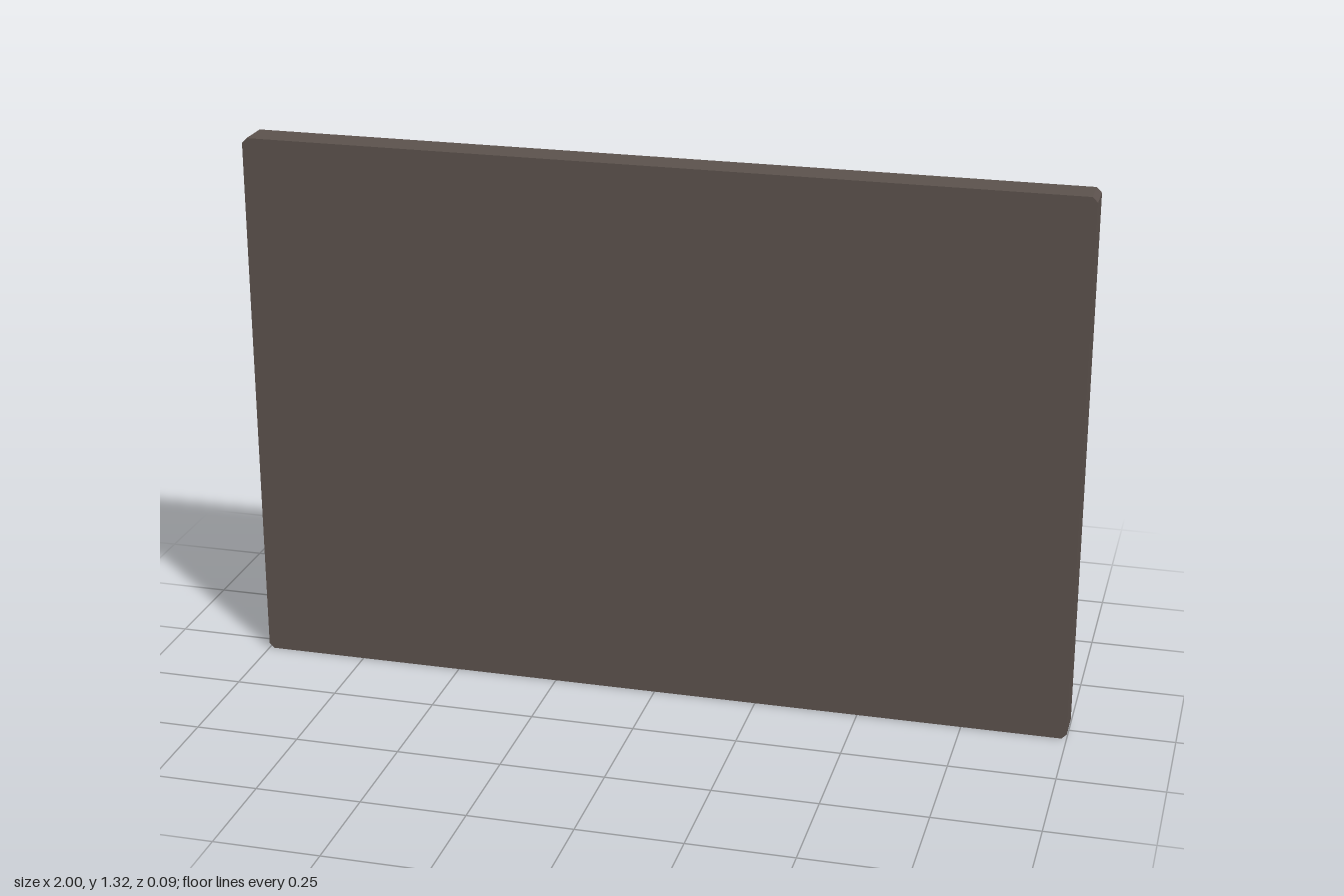
import * as THREE from 'three';

const W = 2, H = 1.32, D = 0.094;   // overall size
const RIM = 0.055;                  // frame width
const CHAMFER = 0.012;
const SLATS = 8, PITCH = 0.148;

// rectangle outline, corners cut by c
function outline(w, h, c) {
  const x = w / 2, y = h / 2;
  return [
    [-x + c, -y], [x - c, -y], [x, -y + c], [x, y - c],
    [x - c, y], [-x + c, y], [-x, y - c], [-x, -y + c],
  ].map(([px, py]) => new THREE.Vector2(px, py));
}

// hollow frame with its outer back edge chamfered
function frameGeometry() {
  const shape = new THREE.Shape(outline(W, H, CHAMFER));
  const w = W / 2 - RIM, h = H / 2 - RIM;
  shape.holes.push(new THREE.Path([
    new THREE.Vector2(-w, -h), new THREE.Vector2(-w, h),
    new THREE.Vector2(w, h), new THREE.Vector2(w, -h),
  ]));
  const geo = new THREE.ExtrudeGeometry(shape, { depth: D, steps: 2, bevelEnabled: false });
  const p = geo.attributes.position;
  for (let i = 0; i < p.count; i++) {
    const x = p.getX(i), y = p.getY(i), z = p.getZ(i);
    const outer = Math.abs(x) > w + 0.01 || Math.abs(y) > h + 0.01;
    if (Math.abs(z - D / 2) < 1e-4) p.setZ(i, CHAMFER);
    else if (z < 1e-4 && outer) {
      p.setX(i, x * (1 - CHAMFER / (W / 2)));
      p.setY(i, y * (1 - CHAMFER / (H / 2)));
    }
  }
  geo.computeVertexNormals();
  return geo.translate(0, H / 2, -D / 2);
}

export function createModel() {
  const group = new THREE.Group();
  group.name = 'louveredPanel';
  const material = new THREE.MeshStandardMaterial({ color: 0x5c524d });
  const add = (name, geo, parent = group) => {
    const mesh = new THREE.Mesh(geo, material);
    mesh.name = name;
    parent.add(mesh);
    return mesh;
  };

  add('frame', frameGeometry());

  // closed front sheet, set inside the frame and flush with its front
  const sheet = 0.015;
  add('frontPanel', new THREE.BoxGeometry(W - 2 * RIM, H - 2 * RIM, sheet))
    .position.set(0, H / 2, D / 2 - sheet / 2);

  // slats slope outward and down toward the back; cross-section in (z, y) from the lower lip
  const tilt = THREE.MathUtils.degToRad(20), length = 0.155, thick = 0.025;
  const slatGeo = new THREE.BoxGeometry(W - 2 * RIM, length, thick);
  slatGeo.translate(0, length / 2, thick / 2).rotateX(tilt);
  const slats = new THREE.Group();
  slats.name = 'slats';
  group.add(slats);
  for (let i = 0; i < SLATS; i++) {
    add('slat', slatGeo, slats).position.set(0, 0.118 + i * PITCH, -D / 2 + 0.015);
  }
  return group;
}
